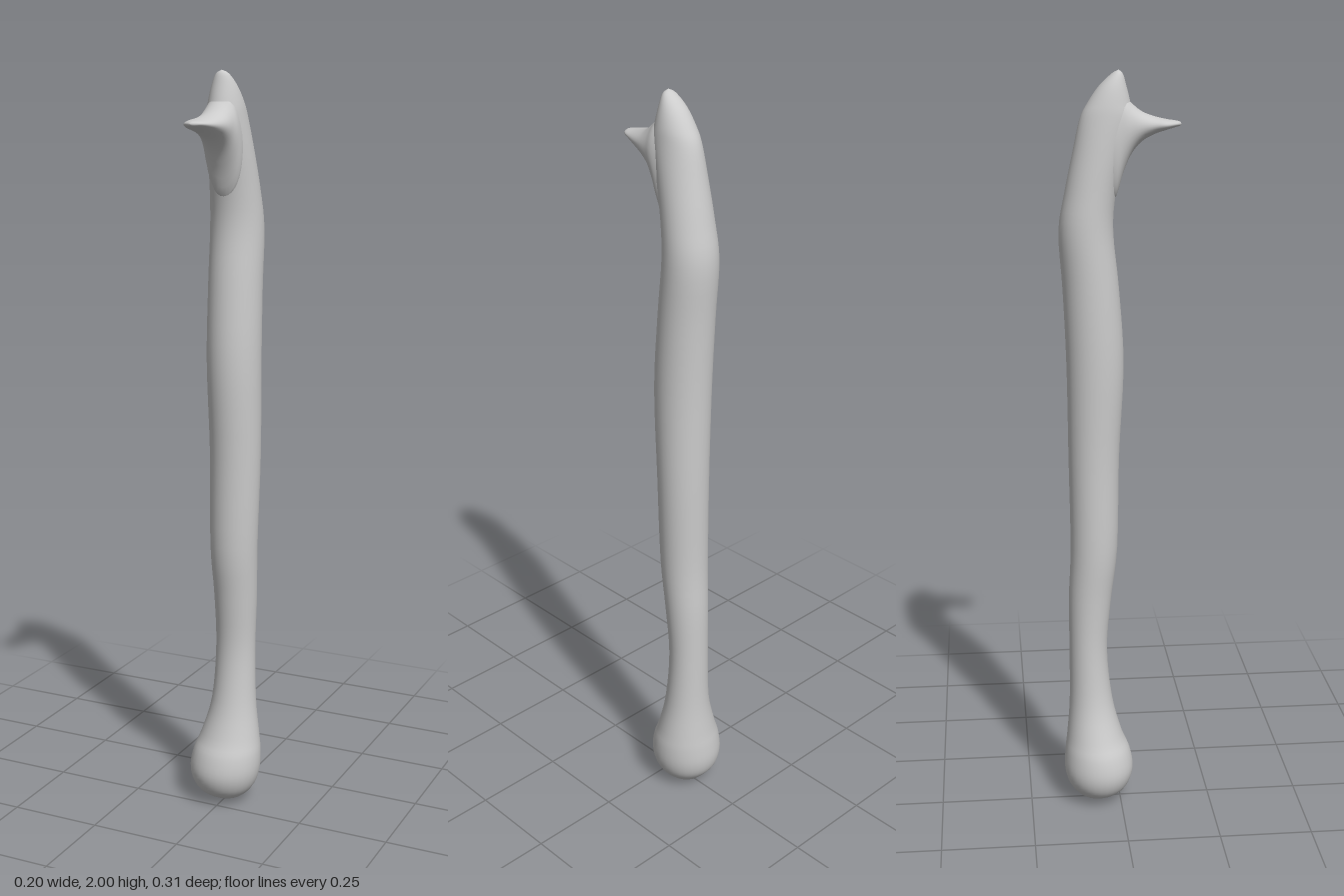
import * as THREE from 'three';

const SIDES = 32;
const material = new THREE.MeshStandardMaterial({ color: 0xcccccc });

// Smooth loft through elliptical sections [station, uMin, uMax, vMin, vMax].
// Upright lofts run along y (u = x, v = z); the others run along z (u = x, v = y).
function loft(name, sections, upright, steps) {
  const spline = (k) => new THREE.CatmullRomCurve3(
    sections.map((s) => new THREE.Vector3(s[0], s[k], s[k + 1])), false, 'catmullrom', 0.5);
  const uCurve = spline(1), vCurve = spline(3);
  const rings = (sections.length - 1) * steps;
  const positions = [], index = [];
  for (let i = 0; i <= rings; i++) {
    const u = uCurve.getPoint(i / rings), v = vCurve.getPoint(i / rings);
    for (let j = 0; j < SIDES; j++) {
      const a = (j / SIDES) * Math.PI * 2 * (upright ? 1 : -1);
      const pu = (u.y + u.z) / 2 + Math.cos(a) * (u.z - u.y) / 2;
      const pv = (v.y + v.z) / 2 + Math.sin(a) * (v.z - v.y) / 2;
      if (upright) positions.push(pu, u.x, pv);
      else positions.push(pu, pv, u.x);
      if (i < rings) {
        const p = i * SIDES + j, q = i * SIDES + (j + 1) % SIDES;
        index.push(p, p + SIDES, q, q, p + SIDES, q + SIDES);
      }
    }
  }
  const geometry = new THREE.BufferGeometry();
  geometry.setAttribute('position', new THREE.Float32BufferAttribute(positions, 3));
  geometry.setIndex(index);
  geometry.computeVertexNormals();
  const mesh = new THREE.Mesh(geometry, material);
  mesh.name = name;
  return mesh;
}

export function createModel() {
  const group = new THREE.Group();
  group.name = 'walkingStick';

  // Rounded foot, gently uneven shaft and pointed crown: y, x range, z range
  group.add(loft('shaft', [
    [0.0, 0.005, 0.005, -0.07, -0.07],
    [0.008, -0.03, 0.035, -0.1, -0.035],
    [0.03, -0.07, 0.065, -0.125, 0.005],
    [0.06, -0.092, 0.086, -0.146, 0.027],
    [0.1, -0.1, 0.097, -0.155, 0.036],
    [0.15, -0.092, 0.098, -0.153, 0.027],
    [0.2, -0.073, 0.091, -0.147, 0.006],
    [0.3, -0.046, 0.078, -0.139, -0.02],
    [0.45, -0.037, 0.073, -0.138, -0.034],
    [0.6, -0.039, 0.079, -0.138, -0.022],
    [0.75, -0.045, 0.084, -0.132, -0.005],
    [1.0, -0.045, 0.092, -0.135, 0.0],
    [1.25, -0.051, 0.093, -0.138, 0.012],
    [1.45, -0.052, 0.091, -0.146, 0.0],
    [1.6, -0.052, 0.09, -0.155, -0.015],
    [1.7, -0.048, 0.084, -0.139, -0.008],
    [1.8, -0.043, 0.075, -0.118, 0.015],
    [1.88, -0.037, 0.065, -0.1, 0.035],
    [1.92, -0.031, 0.059, -0.08, 0.028],
    [1.96, -0.02, 0.047, -0.052, 0.018],
    [1.99, -0.004, 0.031, -0.02, 0.009],
    [2.0, 0.013, 0.013, -0.002, -0.002],
  ], true, 4));

  // Flattened spur flaring out of the crown: z, x range, y range
  group.add(loft('spur', [
    [-0.05, -0.03, 0.06, 1.72, 1.93],
    [-0.015, -0.036, 0.066, 1.68, 1.945],
    [0.01, -0.036, 0.066, 1.75, 1.94],
    [0.03, -0.034, 0.062, 1.795, 1.92],
    [0.055, -0.032, 0.058, 1.825, 1.9],
    [0.085, -0.032, 0.05, 1.843, 1.888],
    [0.115, -0.035, 0.038, 1.854, 1.881],
    [0.14, -0.02, 0.026, 1.861, 1.877],
    [0.151, -0.007, 0.012, 1.864, 1.874],
    [0.155, 0.002, 0.002, 1.869, 1.869],
  ], false, 4));

  return group;
}
